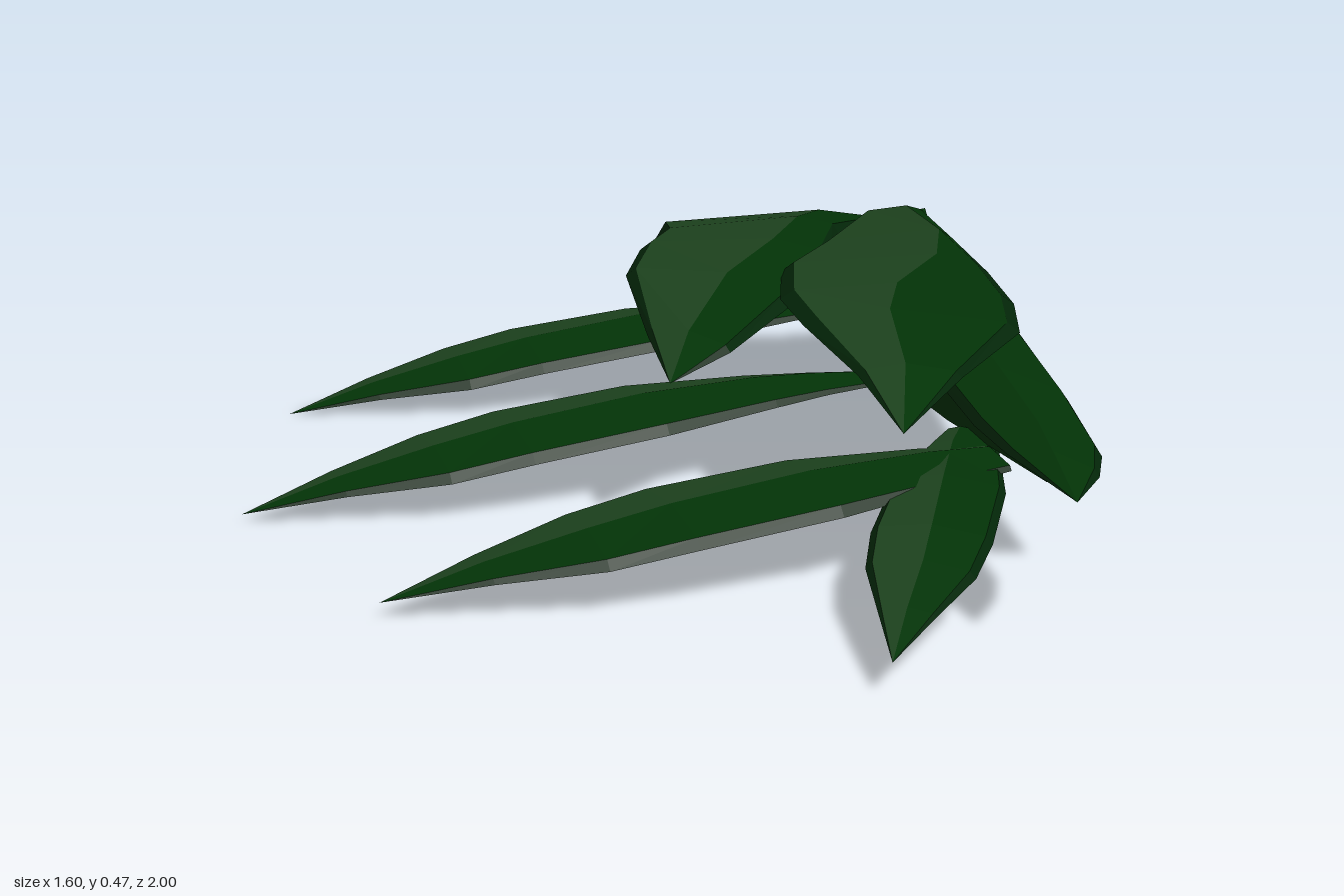
import * as THREE from 'three';

const mat = (name, color) => {
  const m = new THREE.MeshStandardMaterial({ color });
  m.name = name;
  m.flatShading = true;
  m.side = THREE.DoubleSide;
  return m;
};

// Skin rings of points; columns[j] is the material index of strip j.
function loft(name, rings, columns, materials) {
  const buckets = materials.map(() => []);
  const tri = (m, ...pts) => pts.forEach((p) => buckets[m].push(...p));
  const n = rings[0].length;
  for (let i = 0; i < rings.length - 1; i++) {
    for (let j = 0; j < n; j++) {
      const k = (j + 1) % n;
      const a = rings[i][j], b = rings[i][k], c = rings[i + 1][j], d = rings[i + 1][k];
      tri(columns[j], a, b, c);
      tri(columns[j], b, d, c);
    }
  }
  // End caps
  const first = rings[0], last = rings[rings.length - 1], capMat = columns[n - 1];
  for (let j = 1; j < n - 1; j++) {
    tri(capMat, first[0], first[j + 1], first[j]);
    tri(capMat, last[0], last[j], last[j + 1]);
  }
  const geo = new THREE.BufferGeometry();
  geo.setAttribute('position', new THREE.Float32BufferAttribute(buckets.flat(), 3));
  let start = 0;
  buckets.forEach((b, m) => {
    if (b.length) geo.addGroup(start, b.length / 3, m);
    start += b.length / 3;
  });
  geo.computeVertexNormals();
  const mesh = new THREE.Mesh(geo, materials);
  mesh.name = name;
  return mesh;
}

// Leaf section from left edge, right edge, height, ridge place and rim depth:
// steep rims, a ridge and a thin underside.
function leafRing([lx, lz, rx, rz, y, ridge = 0.5, depth = 0.04]) {
  const w = Math.hypot(rx - lx, rz - lz);
  const drop = Math.min(depth, w * 0.14), rise = Math.min(0.02, w * 0.07);
  const at = (t, dy) => [lx + (rx - lx) * t, y + dy, lz + (rz - lz) * t];
  return [
    at(0, -drop), at(0.06, -rise), at(ridge, 0),
    at(0.94, -rise), at(1, -drop), at(0.5, -0.5 * drop),
  ];
}

export function createModel() {
  const group = new THREE.Group();
  const materials = [
    mat('leafGreen', 0x033307),
    mat('lightLeafGreen', 0x1d431e),
    mat('darkRimGreen', 0x032608),
  ];
  const striped = [2, 1, 0, 2, 2, 2];
  const plain = [2, 0, 0, 2, 2, 2];

  // Lower leaflets: one shape with its tip at the origin,
  // [distance, half width, height, ridge place]
  const leaflet = [
    [0, 0, 0, 0.5], [0.2, 0.072, 0.057, 0.5], [0.4, 0.14, 0.102, 0.52],
    [0.57, 0.158, 0.13, 0.5], [0.86, 0.152, 0.157, 0.45], [1.12, 0.1, 0.16, 0.35],
    [1.25, 0.07, 0.156, 0.3], [1.45, 0.03, 0.145, 0.3],
  ].map(([a, w, y, ridge]) => leafRing([a, -w, a, w, y, ridge]));

  // [tip x, y, z, turn in degrees, length, height and width scale, sections used]
  [
    [-0.7, 0.01, -0.66, 11.8, 0.97, 1, 1, 8],
    [-0.78, 0.03, 0.03, 14, 1, 1, 1, 8],
    [-0.51, 0.045, 0.56, 14, 1, 0.95, 1, 7],
    [0.36, 0.08, 1.0, 70, 0.76, 0.72, 0.72, 7],
  ].forEach(([x, y, z, turn, length, height, width, count], i) => {
    const leaf = loft('lowerLeaf' + (i + 1), leaflet.slice(0, count), striped, materials);
    leaf.position.set(x, y, z);
    leaf.rotation.y = THREE.MathUtils.degToRad(turn);
    leaf.scale.set(length, height, width);
    group.add(leaf);
  });

  // Upper leaves: left x, z, right x, z, ridge height, ridge place, rim depth
  const upper = {
    upperOuterLeaf: [
      [0.06, 0.25, 0.06, 0.25, 0.35], [0.04, 0.02, 0.19, 0.15, 0.405],
      [0.03, -0.33, 0.36, -0.1, 0.445, 0.6], [0.08, -0.52, 0.48, -0.4, 0.45, 0.7],
      [0.14, -0.7, 0.56, -0.7, 0.43, 0.75, 0.06], [0.14, -0.87, 0.7, -0.87, 0.4, 0.7, 0.08],
    ],
    upperMiddleLeaf: [
      [0.43, 0.69, 0.43, 0.69, 0.385], [0.39, 0.45, 0.58, 0.48, 0.445, 0.45],
      [0.33, 0.17, 0.74, 0.26, 0.475, 0.4], [0.31, 0, 0.77, 0.08, 0.48, 0.5],
      [0.35, -0.25, 0.78, -0.2, 0.468, 0.75], [0.47, -0.48, 0.78, -0.48, 0.45, 0.85],
      [0.64, -0.87, 0.78, -0.87, 0.405, 0.7],
    ],
    upperInnerLeaf: [
      [0.69, 0.92, 0.69, 0.92, 0.33], [0.62, 0.68, 0.755, 0.82, 0.365],
      [0.59, 0.55, 0.78, 0.74, 0.385], [0.56, 0.3, 0.78, 0.5, 0.41],
      [0.56, 0.02, 0.78, 0.1, 0.415], [0.7, -0.33, 0.78, -0.3, 0.345],
    ],
  };
  for (const [name, sections] of Object.entries(upper)) {
    const columns = name === 'upperInnerLeaf' ? plain : striped;
    group.add(loft(name, sections.map(leafRing), columns, materials));
  }

  // Half stem with a flat inner wall: top z, y, bottom z, y and outer x
  const stem = [
    [-0.86, 0.4, -1, 0.01, 0.63], [-0.7, 0.34, -0.72, 0.065, 0.6],
    [-0.33, 0.33, -0.33, 0.09, 0.62], [0, 0.3, 0, 0.13, 0.66],
    [0.48, 0.225, 0.48, 0.2, 0.75],
  ].map(([zt, yt, zb, yb, x]) => {
    const at = (px, t) => [px, yt + (yb - yt) * t, zt + (zb - zt) * t];
    return [at(0.78, 0), at(x + 0.04, 0.06), at(x, 0.35), at(x, 0.75), at(x + 0.07, 0.95), at(0.78, 1)];
  });
  group.add(loft('stem', stem, [0, 0, 0, 0, 0, 0], materials));

  return group;
}
